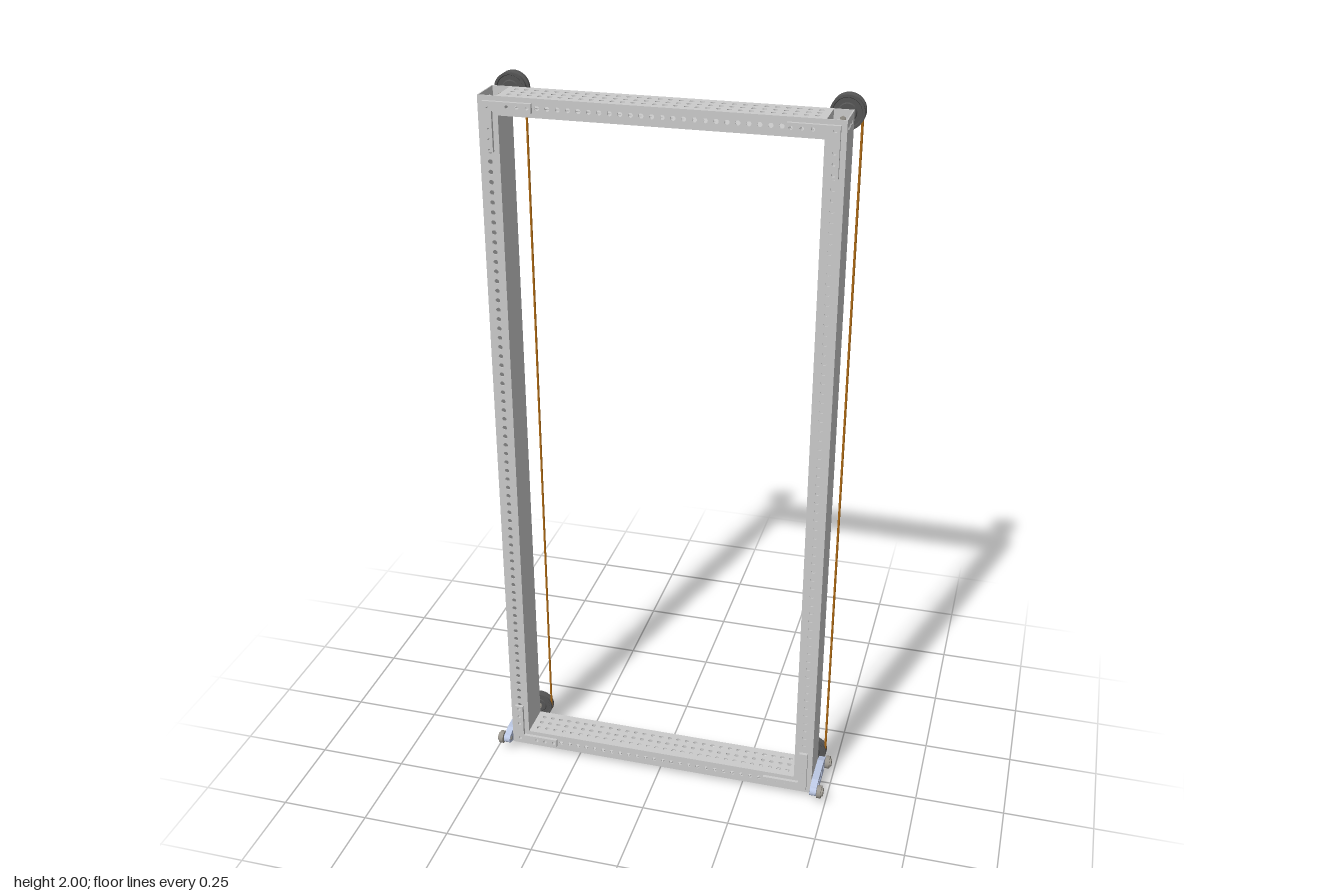
import * as THREE from 'three';

const mat = (color) => new THREE.MeshStandardMaterial({ color });
const GREY = mat(0xcccccc), DARK = mat(0x555555), STEEL = mat(0x9a968e);
const BLUE = mat(0xbcc8e4), ORANGE = mat(0xb06a12);

// Main dimensions
const Z0 = -0.021, Z1 = 0.08, ZC = (Z0 + Z1) / 2, DEPTH = Z1 - Z0;
const COL_X = 0.43, COL_W = 0.052, WALL = 0.003;
const Y0 = 0.018, Y1 = 1.98, BEAM_H = 0.048, BEAM_W = 0.808;
const PITCH = 0.0263, HOLE_R = 0.0062, ROWS = [-0.026, 0, 0.026];
const PULLEY_Z = -0.094;

function add(parent, name, geo, material, x = 0, y = 0, z = 0) {
  const m = new THREE.Mesh(geo, material);
  m.name = name;
  m.position.set(x, y, z);
  parent.add(m);
  return m;
}

function group(parent, name) {
  const g = new THREE.Group();
  g.name = name;
  parent.add(g);
  return g;
}

// Extrudes a shape with round holes, centred through its thickness
function extrude(shape, t, holes = [], r = HOLE_R) {
  for (const [x, y] of holes) shape.holes.push(new THREE.Path().absarc(x, y, r, 0, Math.PI * 2, true));
  const geo = new THREE.ExtrudeGeometry(shape, { depth: t, bevelEnabled: false, curveSegments: 6 });
  return geo.translate(0, 0, -t / 2);
}

function plate(w, h, t, holes) {
  const pts = [[-w, -h], [w, -h], [w, h], [-w, h]].map(([x, y]) => new THREE.Vector2(x / 2, y / 2));
  return extrude(new THREE.Shape(pts), t, holes);
}

const row = (n) => Array.from({ length: n }, (_, i) => (i - (n - 1) / 2) * PITCH);

// Upright: open-ended tube, perforated at front and back
function upright(parent, side) {
  const g = group(parent, side > 0 ? 'leftUpright' : 'rightUpright');
  const h = Y1 - Y0, yc = (Y0 + Y1) / 2;
  const face = plate(COL_W, h, WALL, row(73).map((y) => [0, y]));
  for (const z of [Z0 + WALL / 2, Z1 - WALL / 2]) add(g, 'perforatedFace', face, GREY, side * COL_X, yc, z);
  const ends = [-1, 1].flatMap((s) => ROWS.map((z) => [z, s * (h / 2 - 0.023)]));
  const d = DEPTH - 2 * WALL;
  const outer = plate(d, h, WALL, ends).rotateY(Math.PI / 2);
  const inner = plate(d, h, WALL).rotateY(Math.PI / 2);
  const off = (COL_W - WALL) / 2;
  add(g, 'outerWall', outer, GREY, side * (COL_X + off), yc, ZC);
  add(g, 'innerWall', inner, GREY, side * (COL_X - off), yc, ZC);
}

// Crossbeam: tube perforated on all four sides
function crossbeam(parent, name, yc) {
  const g = group(parent, name);
  const xs = row(30);
  const deck = plate(BEAM_W, DEPTH, WALL, xs.flatMap((x) => ROWS.map((z) => [x, z]))).rotateX(-Math.PI / 2);
  const web = plate(BEAM_W, BEAM_H - 2 * WALL, WALL, xs.map((x) => [x, 0]));
  for (const s of [-1, 1]) {
    add(g, 'perforatedDeck', deck, GREY, 0, yc + s * (BEAM_H - WALL) / 2, ZC);
    add(g, 'perforatedWeb', web, GREY, 0, yc, ZC + s * (DEPTH - WALL) / 2);
  }
}

// L-shaped corner bracket; sx and sy point from the centre to its corner
function cornerBracket(parent, sx, sy, yc, z) {
  const a = 0.012, len = 0.115, t = 0.009;
  let pts = [[a, a], [-len, a], [-len, -a], [-a, -a], [-a, -len], [a, -len]]
    .map(([x, y]) => new THREE.Vector2(x * sx, y * sy));
  const holes = [[0, 0]];
  for (const k of [2, 3, 4]) holes.push([-k * PITCH * sx, 0], [0, -k * PITCH * sy]);
  add(parent, 'cornerBracket', extrude(new THREE.Shape(pts), t, holes, 0.005), GREY, sx * COL_X, yc, z);
}

// Grooved pulley on a bolt fixed to the back of the upright
function pulley(parent, name, x, y, r, half) {
  const g = group(parent, name);
  g.position.set(x, y, PULLEY_Z);
  const p = [[0.004, -half], [r * 0.5, -half], [r * 0.55, -half * 0.8], [r * 0.82, -half * 0.8], [r * 0.86, -half],
    [r, -half], [r, -half * 0.5], [r - 0.008, -0.003]];
  const profile = [...p, ...p.slice().reverse().map(([a, b]) => [a, -b])].map(([a, b]) => new THREE.Vector2(a, b));
  const wheel = new THREE.LatheGeometry(profile, 40).rotateX(Math.PI / 2).toNonIndexed();
  wheel.computeVertexNormals();
  add(g, 'grooveWheel', wheel, DARK);
  const rod = (n, rad, z0, z1, seg = 16) => add(g, n, new THREE.CylinderGeometry(rad, rad, z1 - z0, seg)
    .rotateX(Math.PI / 2), STEEL, 0, 0, (z0 + z1) / 2);
  rod('bolt', 0.0045, -0.026, 0.086);
  rod('boltHead', 0.008, -0.026, -half, 6);
  rod('spacer', 0.009, half, half + 0.005);
  rod('nut', 0.008, 0.053, 0.063, 6);
  rod('innerNut', 0.008, 0.077, 0.084, 6);
}

// Closed belt around an upper and a lower pulley
function belt(parent, x, yTop, yBottom, r) {
  const path = new THREE.CurvePath();
  const pts = [];
  for (let i = 0; i <= 16; i++) pts.push([Math.cos(i * Math.PI / 16) * r, yTop + Math.sin(i * Math.PI / 16) * r]);
  for (let i = 0; i <= 16; i++) pts.push([-Math.cos(i * Math.PI / 16) * r, yBottom - Math.sin(i * Math.PI / 16) * r]);
  const v = pts.map(([a, b]) => new THREE.Vector3(a, b, 0));
  v.forEach((p, i) => path.add(new THREE.LineCurve3(p, v[(i + 1) % v.length])));
  add(parent, 'belt', new THREE.TubeGeometry(path, 600, 0.0032, 8, true), ORANGE, x, 0, PULLEY_Z);
}

// Foot plate with two guide rollers on its outer side
function foot(parent, side) {
  const g = group(parent, side > 0 ? 'leftFoot' : 'rightFoot');
  const cy = 0.042, zs = [-0.042, 0.097];
  const half = (zs[1] - zs[0]) / 2, mid = (zs[0] + zs[1]) / 2;
  const s = new THREE.Shape();
  s.absarc(half, 0, 0.014, -Math.PI / 2, Math.PI / 2, false);
  s.lineTo(0.045, 0.022);
  s.lineTo(-0.045, 0.022);
  s.absarc(-half, 0, 0.014, Math.PI / 2, Math.PI * 1.5, false);
  s.lineTo(-0.045, -0.022);
  s.lineTo(0.045, -0.022);
  const geo = extrude(s, 0.019, [[-0.039, 0], [-0.013, 0], [0.013, 0], [0.039, 0]], 0.0075).rotateY(-Math.PI / 2);
  add(g, 'footPlate', geo, BLUE, side * 0.4655, cy, mid);
  add(g, 'innerTab', new THREE.BoxGeometry(0.006, 0.03, 0.036), BLUE, side * 0.459, cy, ZC);
  for (const z of zs) {
    const disc = (n, r, x0, x1, seg) => add(g, n, new THREE.CylinderGeometry(r, r, x1 - x0, seg)
      .rotateZ(Math.PI / 2), STEEL, side * (x0 + x1) / 2, cy, z);
    disc('roller', 0.0185, 0.477, 0.489, 28);
    disc('rollerHub', 0.012, 0.489, 0.494, 20);
    disc('rollerAxle', 0.006, 0.454, 0.48, 16);
  }
}

export function createModel() {
  const model = new THREE.Group();
  model.name = 'perforatedFrame';
  const yLow = Y0 + BEAM_H / 2, yHigh = Y1 - BEAM_H / 2;
  crossbeam(model, 'bottomCrossbeam', yLow);
  crossbeam(model, 'topCrossbeam', yHigh);
  for (const side of [-1, 1]) {
    upright(model, side);
    foot(model, side);
    for (const z of [Z0 - 0.0045, Z1 + 0.0045]) {
      cornerBracket(model, side, 1, yHigh, z);
      cornerBracket(model, side, -1, yLow, z);
    }
    pulley(model, 'upperPulley', side * COL_X, 1.957, 0.043, 0.016);
    pulley(model, 'lowerPulley', side * COL_X, 0.04, 0.04, 0.011);
    belt(model, side * COL_X, 1.957, 0.04, 0.036);
  }
  return model;
}
